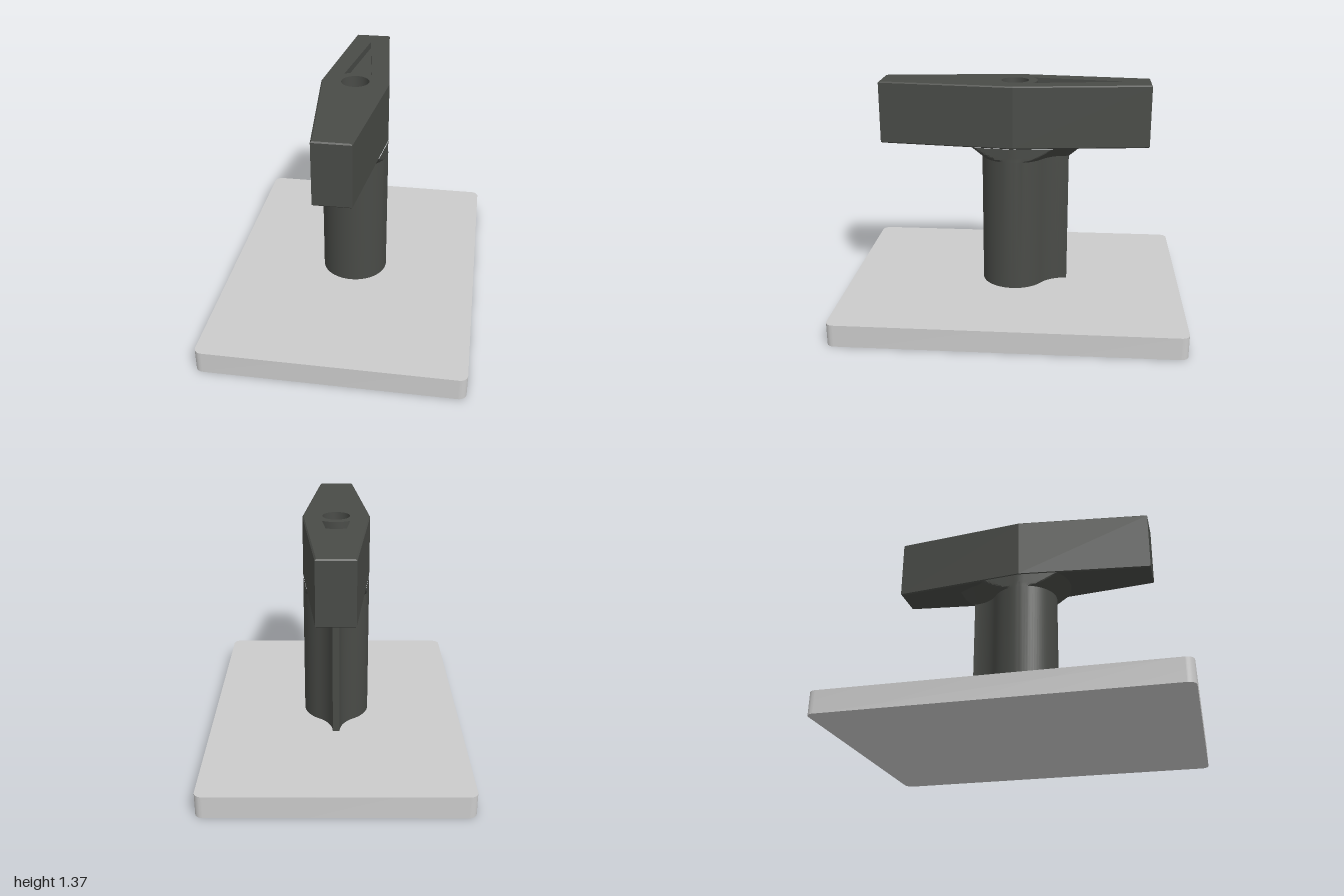
import * as THREE from 'three';
import { mergeGeometries, toCreasedNormals } from 'three/addons/utils/BufferGeometryUtils.js';

const V = (x, z) => new THREE.Vector2(x, z);
const arc = (r, a0, a1, n, cx = 0, cz = 0) =>
  Array.from({ length: n + 1 }, (_, i) => {
    const a = a0 + (a1 - a0) * i / n;
    return V(cx + r * Math.sin(a), cz + r * Math.cos(a));
  });

// Side walls through a stack of plan outlines: [[points, y], ...], bottom to top
function walls(rings, inward = false) {
  const pos = [];
  for (let k = 0; k + 1 < rings.length; k++) {
    const [a, ya] = rings[k], [b, yb] = rings[k + 1], n = a.length;
    for (let i = 0; i < n; i++) {
      const j = (i + 1) % n;
      const p = [a[i].x, ya, a[i].y], q = [a[j].x, ya, a[j].y];
      const r = [b[j].x, yb, b[j].y], s = [b[i].x, yb, b[i].y];
      pos.push(...(inward ? [p, r, q, p, s, r] : [p, q, r, p, r, s]).flat());
    }
  }
  const g = new THREE.BufferGeometry();
  g.setAttribute('position', new THREE.Float32BufferAttribute(pos, 3));
  return g;
}

// Flat face at height y, facing up or down, with optional holes
function cap(points, y, up = true, holes = []) {
  const s = up ? -1 : 1;
  const flip = (pts) => pts.map((p) => V(p.x, s * p.y));
  const shape = new THREE.Shape(flip(points));
  shape.holes = holes.map((h) => new THREE.Path(flip(h)));
  const g = new THREE.ShapeGeometry(shape).rotateX(s * Math.PI / 2).translate(0, y, 0).toNonIndexed();
  g.deleteAttribute('uv');
  g.deleteAttribute('normal');
  return g;
}

function part(name, geometries, color) {
  const g = toCreasedNormals(mergeGeometries(geometries), 0.2);
  const mesh = new THREE.Mesh(g, new THREE.MeshStandardMaterial({ color }));
  mesh.name = name;
  return mesh;
}

const DARK = 0x494b47;
const BASE_TOP = 0.13, SHAFT_TOP = 0.92, HANDLE_BOTTOM = 1.0, HANDLE_TOP = 1.365;
const HALF_W = 0.195, END_W = 0.105, HALF_L = 0.785;

// Rectangular plate with rounded corners
function basePlate() {
  const r = 0.045, pts = [];
  [[1, 1], [1, -1], [-1, -1], [-1, 1]].forEach(([sx, sz], i) =>
    pts.push(...arc(r, i * Math.PI / 2, (i + 1) * Math.PI / 2, 10, sx * (0.75 - r), sz * (1 - r))));
  return part('basePlate', [walls([[pts, 0], [pts, BASE_TOP]]), cap(pts, 0, false), cap(pts, BASE_TOP)], 0xcccccc);
}

// Round shaft with a filleted rib at the back, flaring into the handle
function shaft() {
  const R = HALF_W, tipX = 0.02, tipZ = -0.32;
  const r = (tipX * tipX + tipZ * tipZ - R * R) / (2 * (R - tipX));
  const touch = Math.atan2(tipX + r, tipZ);
  const half = [
    ...arc(R, 0, touch, 32),
    ...arc(r, touch - Math.PI, -Math.PI / 2, 12, tipX + r, tipZ).slice(1),
  ];
  const outline = [...half, ...half.slice(1).reverse().map((p) => V(-p.x, p.y))];
  const n = outline.length;
  // Offset the outline and keep it within the handle's width
  const grow = (d) => outline.map((p, i) => {
    const t = outline[(i + 1) % n].clone().sub(outline[(i + n - 1) % n]).normalize();
    const x = p.x - t.y * d, z = p.y + t.x * d;
    const w = HALF_W - (HALF_W - END_W) * Math.abs(z) / HALF_L;
    return V(THREE.MathUtils.clamp(x, -w, w), z);
  });
  const rings = [[outline, BASE_TOP], [outline, SHAFT_TOP]];
  for (let i = 1; i <= 6; i++) {
    rings.push([grow(0.09 * i / 6), SHAFT_TOP + (HANDLE_BOTTOM - SHAFT_TOP) * i / 6]);
  }
  return part('shaft', [walls(rings)], DARK);
}

// Tapered handle with a round hole and an arrow-shaped recess in its top
function handle() {
  const outline = (d) => {
    const w = HALF_W - d, e = END_W - d, l = HALF_L - d;
    return [V(e, l), V(w, 0), V(e, -l), V(-e, -l), V(-w, 0), V(-e, l)];
  };
  const full = outline(0), inset = outline(0.007), b = 0.007;
  const hole = arc(0.08, 0, Math.PI * 2, 48).slice(0, -1);
  const a = Math.atan2(0.08, 0.105);
  const arrow = [V(0, -0.65), ...arc(0.132, Math.PI + a, Math.PI - a, 12)];
  const holeFloor = HANDLE_TOP - 0.1, arrowFloor = HANDLE_TOP - 0.04;
  return part('handle', [
    walls([[inset, HANDLE_BOTTOM], [full, HANDLE_BOTTOM + b], [full, HANDLE_TOP - b], [inset, HANDLE_TOP]]),
    cap(inset, HANDLE_BOTTOM, false),
    cap(inset, HANDLE_TOP, true, [hole, arrow]),
    walls([[hole, holeFloor], [hole, HANDLE_TOP]], true),
    cap(hole, holeFloor),
    walls([[arrow, arrowFloor], [arrow, HANDLE_TOP]], true),
    cap(arrow, arrowFloor),
  ], DARK);
}

export function createModel() {
  const model = new THREE.Group();
  model.name = 'rotaryHandle';
  model.add(basePlate(), shaft(), handle());
  return model;
}
